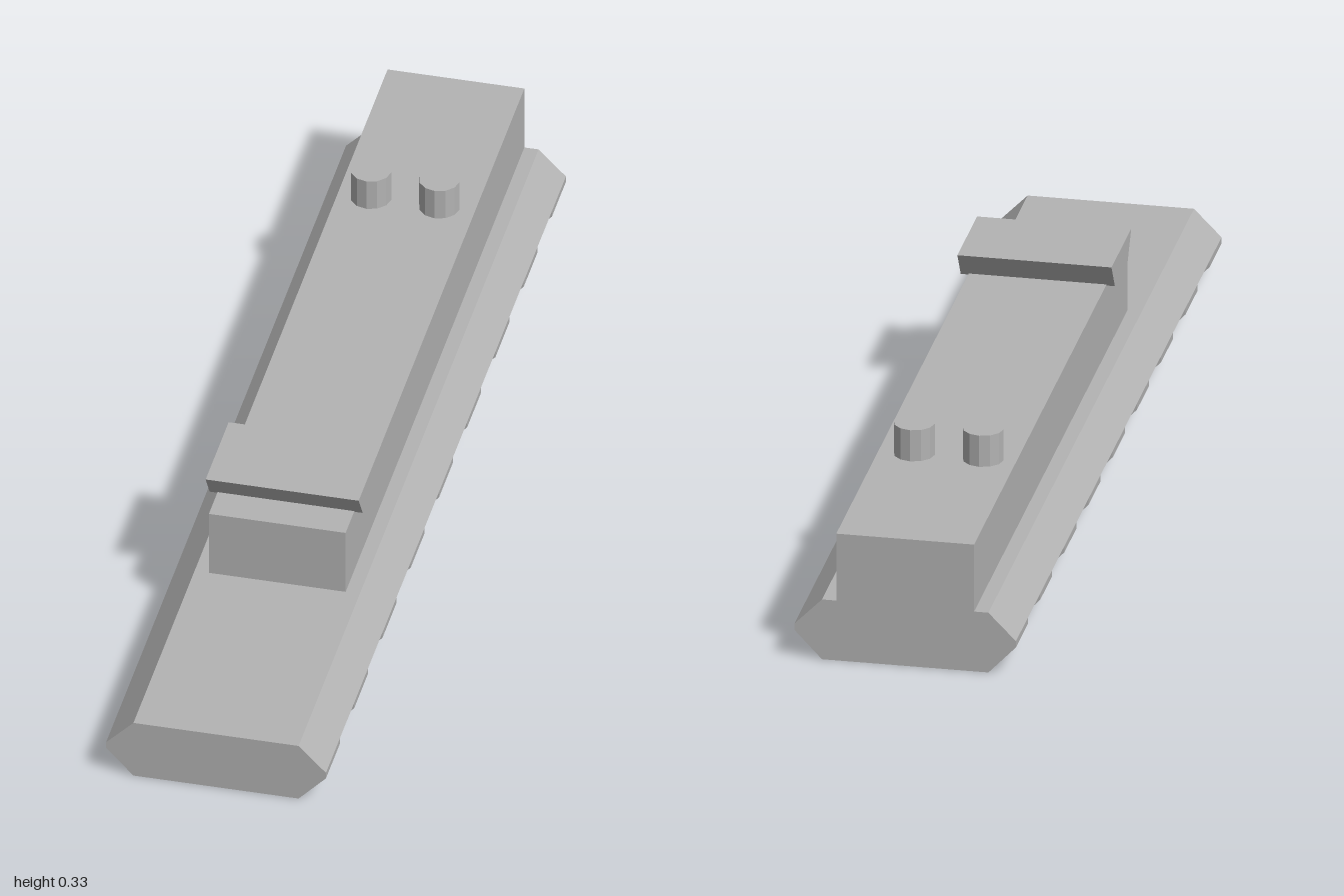
import * as THREE from 'three';

const BASE_Y = 0.07;     // underside of the solid rail, top of the teeth
const HALF_FLAT = 0.163; // half width of the flat top and bottom
const HALF_WIDE = 0.217; // half width at the side lips

function polygon(points) {
  return new THREE.Shape(points.map(([x, y]) => new THREE.Vector2(x, y)));
}

// Extrudes a shape along z, centred on z = 0.
function prism(shape, depth) {
  const g = new THREE.ExtrudeGeometry(shape, { depth, bevelEnabled: false });
  g.translate(0, 0, -depth / 2);
  return g;
}

export function createModel() {
  const group = new THREE.Group();
  const grey = new THREE.MeshStandardMaterial({ color: 0xb3b3b3, flatShading: true });
  grey.name = 'plain grey';

  const add = (name, geometry, x = 0, y = 0, z = 0) => {
    const mesh = new THREE.Mesh(geometry, grey);
    mesh.name = name;
    mesh.position.set(x, y, z);
    group.add(mesh);
    return mesh;
  };

  // Solid upper half of the rail
  add('railBase', prism(polygon([
    [-HALF_WIDE, BASE_Y], [HALF_WIDE, BASE_Y], [HALF_FLAT, 0.125], [-HALF_FLAT, 0.125],
  ]), 2));

  // Nine crosswise teeth below; the third has two round cut-outs in its back
  const toothLength = 0.117;
  const pitch = (2 - toothLength) / 8;
  const tooth = prism(polygon([
    [-HALF_FLAT, 0], [HALF_FLAT, 0], [HALF_WIDE, 0.057], [HALF_WIDE, BASE_Y],
    [-HALF_WIDE, BASE_Y], [-HALF_WIDE, 0.057],
  ]), toothLength);
  for (let i = 0; i < 9; i++) {
    const z = 1 - toothLength / 2 - i * pitch;
    if (i !== 2) {
      add('tooth', tooth, 0, 0, z);
      continue;
    }
    const h = toothLength / 2;
    const plan = new THREE.Shape();
    plan.moveTo(HALF_FLAT, -h);
    plan.lineTo(HALF_FLAT, h);
    plan.lineTo(-HALF_FLAT, h);
    plan.lineTo(-HALF_FLAT, -h);
    for (const x of [-0.07, 0.07]) plan.absarc(x, -h, 0.05, Math.PI, 0, true);
    const middle = new THREE.ExtrudeGeometry(plan, {
      depth: BASE_Y, bevelEnabled: false, curveSegments: 6,
    });
    middle.rotateX(Math.PI / 2);
    add('notchedTooth', middle, 0, BASE_Y, z);
    // Sloping ends of the notched tooth
    const end = prism(polygon([
      [HALF_FLAT, 0], [HALF_WIDE, 0.057], [HALF_WIDE, BASE_Y], [HALF_FLAT, BASE_Y],
    ]), toothLength);
    add('notchedToothEnd', end, 0, 0, z);
    add('notchedToothEnd', end, 0, 0, z).rotation.y = Math.PI;
  }

  // Raised block running to the back end
  add('upperBlock', new THREE.BoxGeometry(0.27, 0.14, 1.49), 0, 0.195, -0.255);

  // Dovetail wedge across the front of the block
  const wedge = prism(polygon([
    [0.29, 0.262], [0.415, 0.262], [0.449, 0.315], [0.257, 0.315],
  ]), 0.302);
  wedge.rotateY(-Math.PI / 2);
  add('dovetailWedge', wedge);

  // Two upright pins near the back
  for (const x of [-0.07, 0.065]) {
    add('pin', new THREE.CylinderGeometry(0.04, 0.04, 0.07, 12), x, 0.295, -0.588);
  }

  return group;
}
